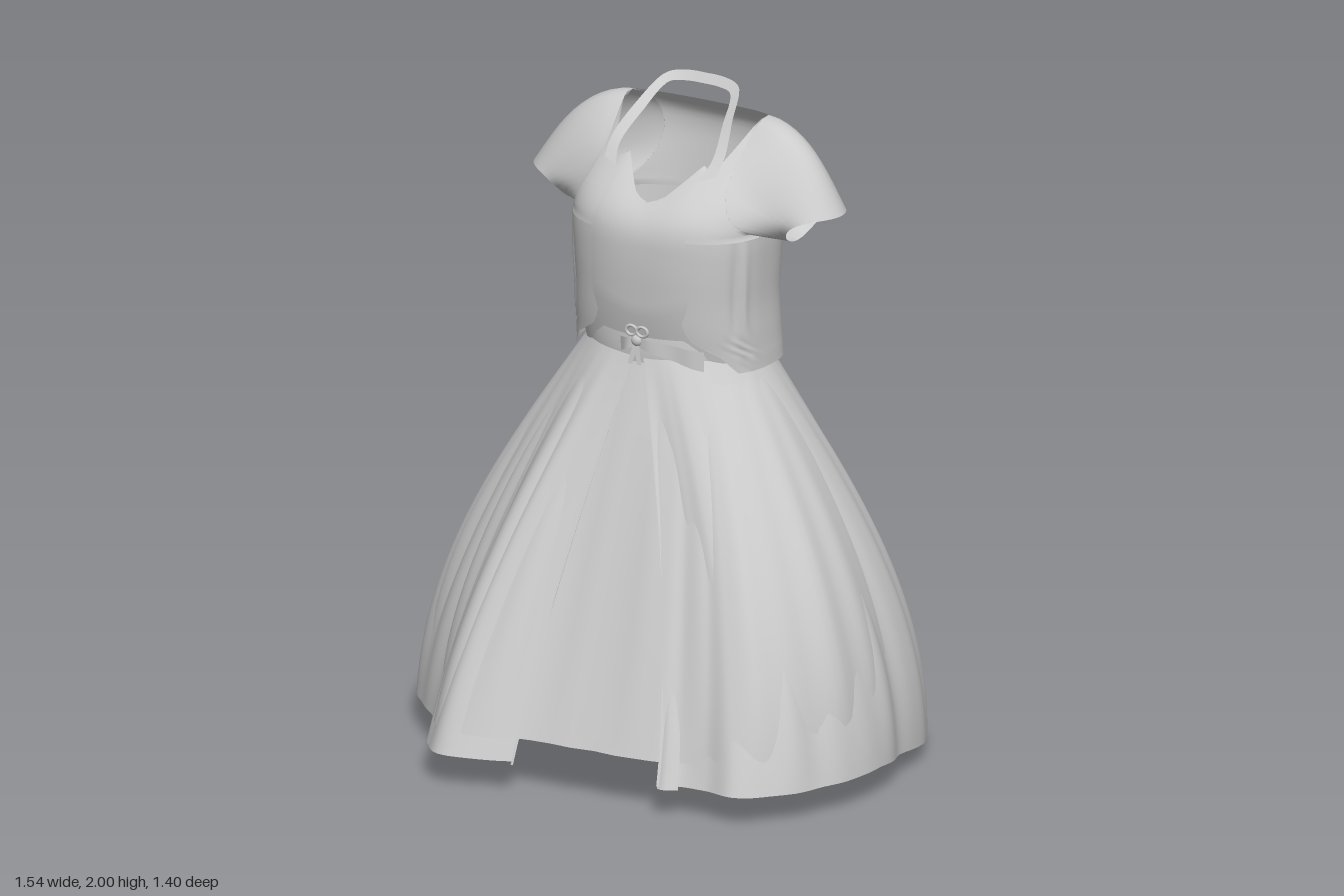
import * as THREE from 'three';

const cloth = new THREE.MeshStandardMaterial({ color: 0xcccccc, side: THREE.DoubleSide });
const { sin, cos, PI, sqrt, abs, sign, min, max } = Math;
const mix = THREE.MathUtils.lerp;
const rad = THREE.MathUtils.degToRad;

// Open sheet from a rule fn(u, v) -> [x, y, z]
function sheet(name, nu, nv, fn) {
  const pos = [], idx = [];
  for (let j = 0; j <= nv; j++)
    for (let i = 0; i <= nu; i++) pos.push(...fn(i / nu, j / nv));
  for (let j = 0; j < nv; j++)
    for (let i = 0; i < nu; i++) {
      const a = j * (nu + 1) + i, b = a + nu + 1;
      idx.push(a, a + 1, b, a + 1, b + 1, b);
    }
  const geo = new THREE.BufferGeometry();
  geo.setAttribute('position', new THREE.Float32BufferAttribute(pos, 3));
  geo.setIndex(idx);
  geo.computeVertexNormals();
  const mesh = new THREE.Mesh(geo, cloth);
  mesh.name = name;
  return mesh;
}

// Piecewise linear lookup in [[key, value], ...], and a rounded version of it
function look(table, k) {
  if (k <= table[0][0]) return table[0][1];
  for (let i = 1; i < table.length; i++) {
    const [k0, v0] = table[i - 1], [k1, v1] = table[i];
    if (k <= k1) return mix(v0, v1, (k - k0) / (k1 - k0));
  }
  return table[table.length - 1][1];
}
const smooth = (table, k) =>
  [-0.03, -0.015, 0, 0.015, 0.03].reduce((sum, d) => sum + look(table, k + d), 0) / 5;

// Torso surface: half width, front and back depth by height
const WIDTH = [[1.2, 0.31], [1.4, 0.3], [1.6, 0.312], [1.75, 0.3], [1.86, 0.265], [1.92, 0.225]];
const FRONT = [[1.2, 0.19], [1.35, 0.21], [1.5, 0.22], [1.62, 0.222], [1.68, 0.2], [1.74, 0.14], [1.8, 0.075], [1.87, 0.01], [1.92, -0.03]];
const BACK = [[1.2, -0.24], [1.4, -0.235], [1.6, -0.245], [1.8, -0.265], [1.87, -0.255], [1.92, -0.2]];
const soft = (v) => sign(v) * abs(v) ** 0.8;
function torso(a, y, k = 1) {
  const zf = smooth(FRONT, y), zb = smooth(BACK, y);
  return [k * smooth(WIDTH, y) * soft(sin(a)), y, (zf + zb) / 2 + (k * (zf - zb) / 2) * soft(cos(a))];
}

// Jacket front edge (x by height) turned into an angle on the torso
const EDGE = [[1.2, 0.28], [1.26, 0.24], [1.3, 0.17], [1.35, 0.14], [1.42, 0.165], [1.61, 0.16], [1.7, 0.13], [1.75, 0.125], [1.8, 0.175], [1.86, 0.205], [1.92, 0.23]];
const edgeAngle = (y) => Math.asin(min(1, look(EDGE, y) / smooth(WIDTH, y)) ** 1.25);

// Armhole: an oval on the torso surface
const ARM_Y = 1.765, ARM_H = 0.155, ARM_A = rad(95), ARM_W = rad(50);
const armHalf = (y) => ARM_W * sqrt(max(0, 1 - ((y - ARM_Y) / ARM_H) ** 2));

function addJacket(group) {
  // lower body, open at the front, with a fold below each armhole
  group.add(sheet('jacketBody', 140, 16, (u, v) => {
    const y = mix(1.205, ARM_Y - ARM_H, v), e = edgeAngle(y), a = mix(e, 2 * PI - e, u);
    const d = (min(a, 2 * PI - a) - rad(66)) / rad(5);
    const p = torso(a, y), fold = 1 + 0.06 * d * Math.exp(-d * d) * sin(PI * v * 0.9);
    return [p[0] * fold, p[1], p[2] * fold];
  }));
  // upper back between the armholes, neckline dipping slightly
  group.add(sheet('jacketUpperBack', 32, 16, (u, v) => {
    const s = 2 * u - 1;
    const y = ARM_Y - ARM_H + 2 * ARM_H * v, a0 = ARM_A + armHalf(y);
    const p = torso(mix(a0, 2 * PI - a0, u), y);
    p[1] -= 0.02 * v ** 3 * (1 - s * s);
    return p;
  }));
  for (const s of [1, -1]) {
    const side = s > 0 ? 'left' : 'right';
    group.add(sheet(side + 'JacketFront', 10, 18, (u, v) => {
      const y = ARM_Y - ARM_H + 2 * ARM_H * v;
      const p = torso(mix(edgeAngle(y), ARM_A - armHalf(y), u), y);
      return [s * p[0], p[1], p[2]];
    }));
    // cap sleeve: armhole oval swept out and tapered to a slanted cuff
    group.add(sheet(side + 'Sleeve', 36, 12, (u, v) => {
      const w = u * 2 * PI - PI / 2;
      const p = torso(ARM_A - ARM_W * cos(w), ARM_Y + ARM_H * sin(w));
      const up = sin(w), f = cos(w);
      const cuff = [0.443 + 0.075 * up - 0.025 * f * f, 1.63 + 0.05 * up + 0.025 * f * f, -0.078 + 0.108 * f];
      const puff = sin(PI * v ** 0.8) * max(0, up);
      return [
        s * (mix(p[0], cuff[0], v) + 0.03 * puff),
        mix(p[1], cuff[1], v) + 0.042 * puff,
        mix(p[2], cuff[2], v),
      ];
    }));
  }
}

// Sweetheart bodice under the jacket, low at the back
const NECK = [[0, 1.695], [0.05, 1.71], [0.1, 1.755], [0.15, 1.8], [0.19, 1.78], [0.25, 1.6], [0.3, 1.57]];
function addBodice(group) {
  group.add(sheet('bodice', 100, 24, (u, v) => {
    const a = mix(-PI, PI, u), c = cos(a);
    const top = c > 0 ? look(NECK, 0.3 * soft(abs(sin(a)))) : mix(1.57, 1.5, -c);
    const tuck = 0.09 * v ** 8 * max(0, c);
    return torso(a, mix(1.22, top, v), mix(0.9, 0.965, min(1, v * 3)) - tuck);
  }));
  group.add(sheet('waistband', 64, 4, (u, v) => {
    const a = u * 2 * PI, k = 1 + 0.012 * sin(v * PI);
    return [0.268 * k * sin(a), mix(1.21, 1.3, v), -0.01 + 0.213 * k * cos(a)];
  }));
  // halter strap round the neck
  const curve = (pts) => new THREE.CatmullRomCurve3([
    ...pts, ...pts.slice(0, -1).reverse().map(([x, y, z]) => [-x, y, z]),
  ].map((p) => new THREE.Vector3(...p)));
  const inner = curve([[0.14, 1.77, 0.105], [0.158, 1.82, 0.055], [0.135, 1.9, -0.04], [0.105, 1.965, -0.13], [0.06, 1.972, -0.147], [0, 1.973, -0.15]]);
  const outer = curve([[0.19, 1.785, 0.085], [0.193, 1.835, 0.04], [0.165, 1.915, -0.045], [0.125, 1.985, -0.145], [0.07, 1.998, -0.165], [0, 2, -0.168]]);
  group.add(sheet('halterStrap', 48, 1, (u, v) => inner.getPoint(u).lerp(outer.getPoint(u), v).toArray()));
}

// Skirt hem, walked from the left front edge round the back to the right front edge
const hemPoints = [
  [0.31, 0.6], [0.37, 0.57], [0.45, 0.555], [0.55, 0.57], [0.63, 0.51], [0.73, 0.33], [0.767, 0.1],
  [0.725, -0.07], [0.69, -0.26], [0.55, -0.46], [0.33, -0.61], [0, -0.7], [-0.33, -0.62], [-0.55, -0.43],
  [-0.69, -0.22], [-0.71, -0.07], [-0.77, 0.08], [-0.73, 0.25], [-0.6, 0.38], [-0.51, 0.5], [-0.46, 0.63],
  [-0.36, 0.7], [-0.22, 0.67], [-0.16, 0.64],
].map(([x, z]) => new THREE.Vector3(x, 0, z));
const HEM = new THREE.CatmullRomCurve3(hemPoints);
const CLOSED_HEM = new THREE.CatmullRomCurve3(hemPoints, true);

// Flare from a waist point to a hem point: domed at the sides, straight down the front
const spread = (t, k) => mix(t, sin(t * PI / 2), k);
function flare(a, hx, hz, hemY, t, k = 1) {
  const c = cos(a), dome = c > 0 ? 1 - c ** 2 : 1 - 0.35 * c * c;
  const pleat = k * (1 + 0.014 * sin(t * PI * 0.9) * (cos(20 * a) + 0.6 * sin(31 * a)) * (0.6 + 0.4 * c));
  return [
    mix(0.265 * sin(a), hx, spread(t, max(dome, 0.65))) * pleat,
    mix(1.25, hemY, t),
    mix(-0.01 + 0.21 * c, hz, spread(t, dome)) * pleat,
  ];
}

function addSkirt(group) {
  group.add(sheet('overskirt', 200, 36, (u, t) => {
    const h = HEM.getPoint(u);
    const start = Math.atan2(0.31, 0.6), end = 2 * PI - Math.atan2(0.16, 0.64);
    const b = (Math.atan2(h.x, h.z) + 2 * PI) % (2 * PI);
    const a = mix(0.05, 2 * PI - 0.05, (b - start) / (end - start));
    const hemY = h.z > 0.1 ? 0.09 + 0.05 * max(0, h.z - 0.55) : 0.09 + (h.z - 0.1) * 0.112;
    return flare(a, h.x, h.z, hemY, t);
  }));
  // underskirt across the front half, filling the opening
  group.add(sheet('underskirt', 120, 28, (u, t) => {
    const h = CLOSED_HEM.getPoint(mix(15 / 24, 31 / 24, u) % 1);
    return flare(Math.atan2(h.x, h.z), h.x, h.z, 0.14 + 0.03 * h.z, t, 0.965);
  }));
  // turned edges of the opening
  for (const [name, x0, x1, z, w] of [['leftEdgeFold', 0.015, 0.33, 0.6, 0.06], ['rightEdgeFold', -0.015, -0.16, 0.64, -0.015]])
    group.add(sheet(name, 4, 20, (u, t) => [
      mix(x0, x1, spread(t, 0.65)) + (u - 0.3) * w * t,
      mix(1.24, 0.085, t),
      mix(0.2, z, t) + 0.012 * t * sin(u * PI) - 0.02 * u * t,
    ]));
}

// Small ribbon bow at the waist
function addBow(group) {
  const bow = new THREE.Group();
  bow.name = 'waistBow';
  const knot = new THREE.Mesh(new THREE.SphereGeometry(0.018, 12, 8), cloth);
  knot.name = 'bowKnot';
  knot.position.set(0, 1.29, 0.212);
  knot.scale.z = 0.7;
  bow.add(knot);
  for (const s of [1, -1]) {
    const loop = new THREE.Mesh(new THREE.TorusGeometry(0.018, 0.006, 6, 16), cloth);
    loop.name = 'bowLoop';
    loop.position.set(s * 0.018, 1.318, 0.212);
    loop.scale.set(1, 0.8, 1);
    bow.add(loop);
    bow.add(sheet('bowTail', 10, 2, (u, v) => [
      s * mix(0.01, s > 0 ? 0.2 : 0.13, u),
      1.285 - 0.04 * u + (v - 0.5) * (0.03 + 0.03 * u),
      0.213 - 0.05 * u * u + 0.006 * sin(u * 9),
    ]));
    bow.add(sheet('bowHangingEnd', 2, 6, (u, v) => [s * 0.016 * v + (u - 0.5) * 0.016, 1.285 - 0.065 * v, 0.215 + 0.01 * v]));
  }
  group.add(bow);
}

export function createModel() {
  const dress = new THREE.Group();
  dress.name = 'dress';
  addJacket(dress);
  addBodice(dress);
  addSkirt(dress);
  addBow(dress);
  return dress;
}
